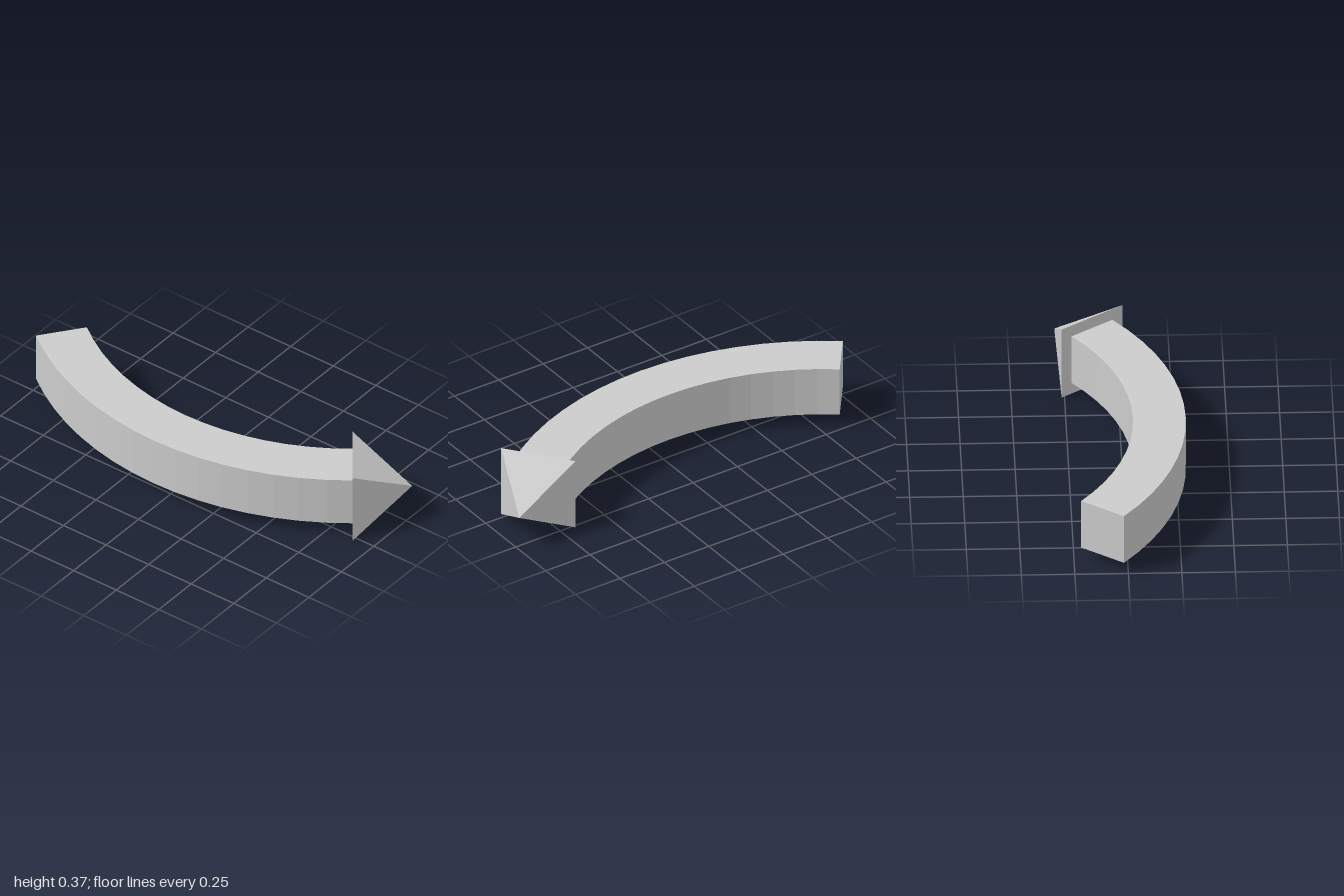
import * as THREE from 'three';

export function createModel() {
  const model = new THREE.Group();
  const material = new THREE.MeshStandardMaterial({ color: 0xcccccc, flatShading: true });

  const centre = { x: 1.232, z: -0.07 };
  const outer = 1.527, inner = 1.28;
  const half = THREE.MathUtils.degToRad(37.5);
  const midY = 0.185;

  // Curved shaft: a square-section ring sector lying flat
  const sector = new THREE.Shape();
  sector.absarc(centre.x, centre.z, outer, Math.PI - half, Math.PI + half, false);
  sector.absarc(centre.x, centre.z, inner, Math.PI + half, Math.PI - half, true);
  sector.closePath();
  const thickness = 0.25;
  const shaftGeometry = new THREE.ExtrudeGeometry(sector, {
    depth: thickness, bevelEnabled: false, curveSegments: 8,
  });
  shaftGeometry.rotateX(Math.PI / 2);
  shaftGeometry.translate(0, midY + thickness / 2, 0);
  const shaft = new THREE.Mesh(shaftGeometry, material);
  shaft.name = 'curvedShaft';
  model.add(shaft);

  // Arrowhead: a square pyramid pointing along the tangent of the front end
  const length = 0.279, width = 0.365;
  const headGeometry = new THREE.ConeGeometry(width / Math.SQRT2, length, 4, 1, false, Math.PI / 4);
  headGeometry.translate(0, length / 2, 0);
  headGeometry.rotateX(Math.PI / 2);
  const head = new THREE.Mesh(headGeometry, material);
  head.name = 'arrowHead';
  const middle = (outer + inner) / 2;
  head.rotation.y = half;
  head.position.set(
    centre.x - middle * Math.cos(half), midY, centre.z + middle * Math.sin(half),
  );
  model.add(head);

  return model;
}
